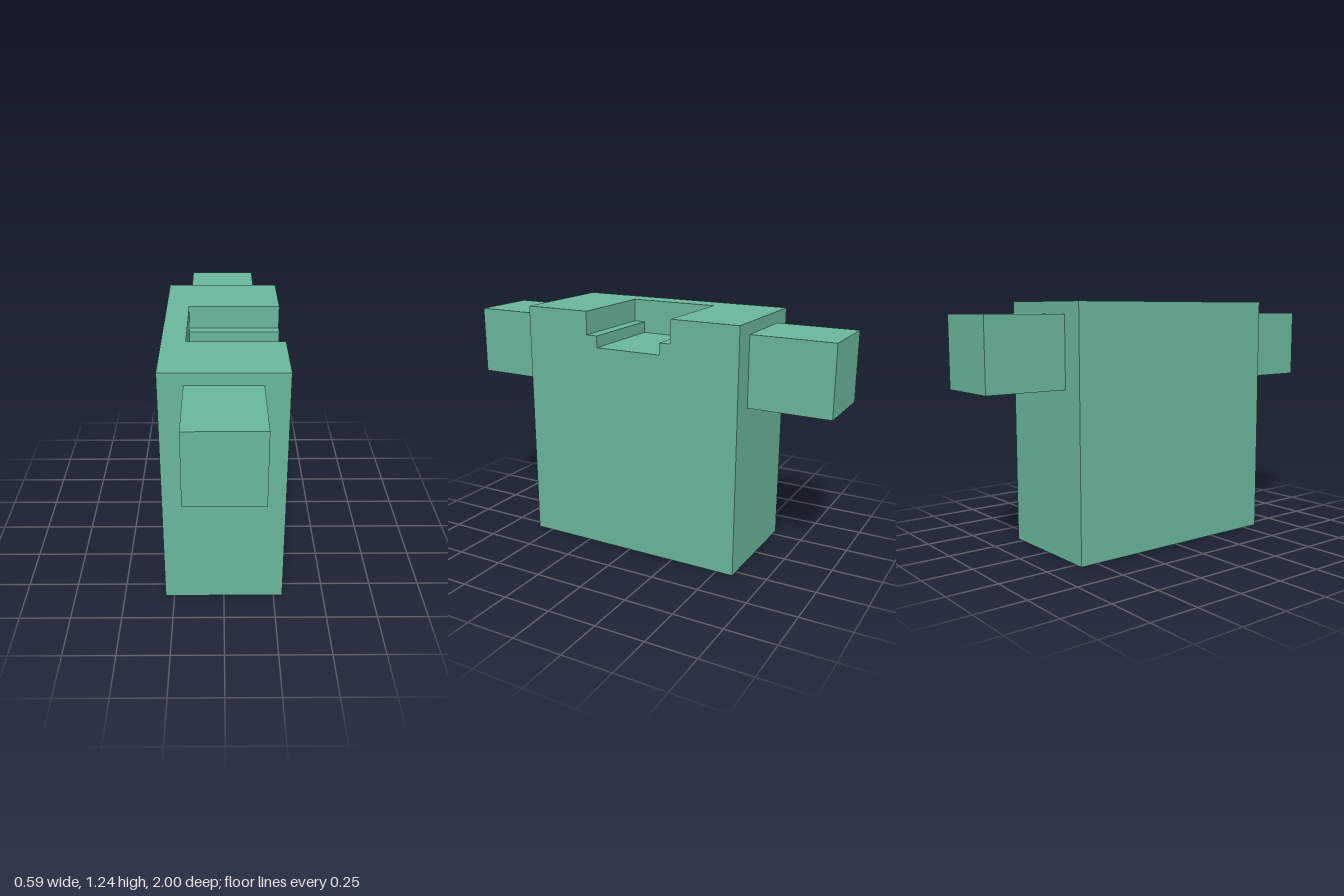
import * as THREE from 'three';

const HALF_X = 0.294;   // half width of the body
const HALF_Z = 0.588;   // half length of the body
const TOP = 1.237;      // height of the body
const BASE_TOP = 0.353; // height of the plain lower block
const WALL_X = -0.177;  // inner face of the closed wall

export function createModel() {
  const model = new THREE.Group();
  const green = new THREE.MeshStandardMaterial({ color: 0x69b69c });
  green.name = 'soft green';

  const add = (name, geometry) => {
    const mesh = new THREE.Mesh(geometry, green);
    mesh.name = name;
    model.add(mesh);
  };

  // Box given by its limits on each axis
  const block = (x0, x1, y0, y1, z0, z1) =>
    new THREE.BoxGeometry(x1 - x0, y1 - y0, z1 - z0)
      .translate((x0 + x1) / 2, (y0 + y1) / 2, (z0 + z1) / 2);

  // Plain lower block
  add('base', block(-HALF_X, HALF_X, 0, BASE_TOP, -HALF_Z, HALF_Z));

  // Wall closing the slot on one side
  add('closedWall', block(-HALF_X, WALL_X, BASE_TOP, TOP, -HALF_Z, HALF_Z));

  // Upper body with a stepped slot, open towards +x
  const profile = new THREE.Shape([
    [-HALF_Z, BASE_TOP], [HALF_Z, BASE_TOP], [HALF_Z, TOP],
    [0.236, TOP], [0.236, 1.119], [0.177, 1.119], [0.177, 1.06],
    [-0.177, 1.06], [-0.177, 1.119], [-0.236, 1.119], [-0.236, TOP],
    [-HALF_Z, TOP],
  ].map(([z, y]) => new THREE.Vector2(z, y)));
  add('slottedBody', new THREE.ExtrudeGeometry(profile, { depth: HALF_X - WALL_X, bevelEnabled: false })
    .rotateY(Math.PI / 2)
    .translate(WALL_X, 0, 0));

  // Square arms at the front and back
  add('frontArm', block(-0.177, 0.177, 0.826, 1.178, HALF_Z, 1));
  add('backArm', block(-0.177, 0.177, 0.826, 1.178, -1, -HALF_Z));

  return model;
}
